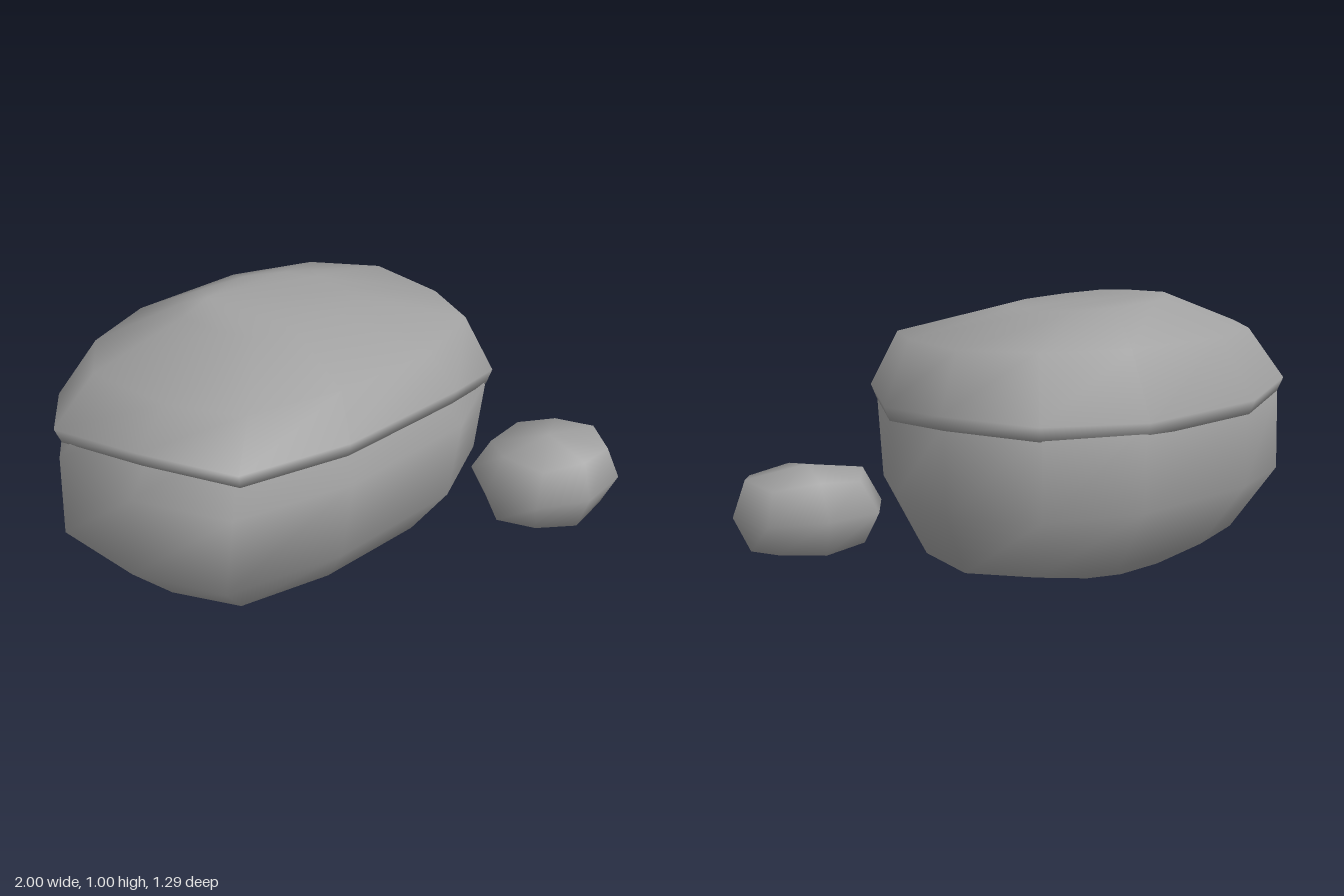
import * as THREE from 'three';

// Closed smooth skin over rings, from a bottom point to a top point.
// Each ring fits the plan outline into x and z limits; y is a height or one height per corner.
function boulder(name, outline, bottom, rings, top, material) {
  const n = outline.length;
  const xs = outline.map(p => p[0]), zs = outline.map(p => p[1]);
  const fit = (v, list, [lo, hi]) => {
    const min = Math.min(...list), max = Math.max(...list);
    return lo + (v - min) / (max - min) * (hi - lo);
  };
  const pos = [...bottom], index = [];
  for (const { y, x, z } of rings) {
    outline.forEach(([px, pz], j) => {
      pos.push(fit(px, xs, x), Array.isArray(y) ? y[j] : y, fit(pz, zs, z));
    });
  }
  pos.push(...top);
  const last = 1 + rings.length * n;
  for (let j = 0; j < n; j++) {
    const k = (j + 1) % n;
    index.push(0, 1 + k, 1 + j);
    for (let i = 0; i < rings.length - 1; i++) {
      const a = 1 + i * n + j, b = 1 + i * n + k;
      index.push(a, b, b + n, a, b + n, a + n);
    }
    index.push(last, last - n + j, last - n + k);
  }
  const geometry = new THREE.BufferGeometry();
  geometry.setAttribute('position', new THREE.Float32BufferAttribute(pos, 3));
  geometry.setIndex(index);
  geometry.computeVertexNormals();
  const mesh = new THREE.Mesh(geometry, material);
  mesh.name = name;
  return mesh;
}

export function createModel() {
  const group = new THREE.Group();
  group.name = 'rocks';
  const stone = new THREE.MeshStandardMaterial({ color: 0xa0a0a0 });
  stone.name = 'grey stone';

  // Large lower boulder, its underside tapering towards the back left
  const lowerPlan = [
    [-1, 0], [-0.92, 0.35], [-0.73, 0.62], [-0.32, 0.64], [0.19, 0.53], [0.48, 0.31],
    [0.545, 0.02], [0.52, -0.35], [0.29, -0.57], [-0.06, -0.63], [-0.56, -0.5], [-0.85, -0.31],
  ];
  group.add(boulder('lowerBoulder', lowerPlan, [-0.35, 0, -0.15], [
    { y: 0.025, x: [-0.54, 0.03], z: [-0.28, 0.12] },
    { y: 0.135, x: [-0.8, 0.45], z: [-0.5, 0.4] },
    { y: 0.35, x: [-1, 0.545], z: [-0.625, 0.585] },
    { y: 0.645, x: [-1, 0.545], z: [-0.63, 0.645] },
    { y: 0.8, x: [-0.82, 0.4], z: [-0.48, 0.46] },
  ], [-0.2, 0.84, 0], stone));

  // Cap slab with an uneven lower lip
  const capPlan = [
    [-0.99, -0.05], [-0.88, 0.33], [-0.68, 0.58], [-0.3, 0.6], [0.18, 0.51], [0.5, 0.32],
    [0.57, 0.02], [0.54, -0.37], [0.31, -0.59], [-0.06, -0.65], [-0.57, -0.53], [-0.86, -0.33],
  ];
  const lip = [0.67, 0.73, 0.71, 0.71, 0.715, 0.63, 0.6, 0.63, 0.61, 0.6, 0.61, 0.64];
  group.add(boulder('capSlab', capPlan, [-0.2, 0.66, 0], [
    { y: lip, x: [-0.97, 0.55], z: [-0.625, 0.585] },
    { y: lip.map(v => v + 0.05), x: [-0.99, 0.57], z: [-0.647, 0.6] },
    { y: 0.875, x: [-0.84, 0.48], z: [-0.54, 0.48] },
    { y: capPlan.map(p => 0.975 - 0.02 * p[0]), x: [-0.52, 0.09], z: [-0.28, 0.22] },
  ], [-0.38, 1, -0.13], stone));

  // Small loose stone beside the boulder
  const smallPlan = [
    [0.44, 0.4], [0.52, 0.58], [0.72, 0.645], [0.93, 0.58],
    [1, 0.41], [0.93, 0.22], [0.72, 0.18], [0.52, 0.22],
  ];
  const wave = (mid, corner) => smallPlan.map((p, j) => (j % 2 ? corner : mid));
  group.add(boulder('smallStone', smallPlan, [0.72, 0.055, 0.41], [
    { y: wave(0.092, 0.11), x: [0.5, 0.94], z: [0.23, 0.595] },
    { y: 0.225, x: [0.44, 1], z: [0.18, 0.645] },
    { y: wave(0.358, 0.34), x: [0.51, 0.95], z: [0.23, 0.595] },
  ], [0.72, 0.39, 0.41], stone));

  return group;
}
